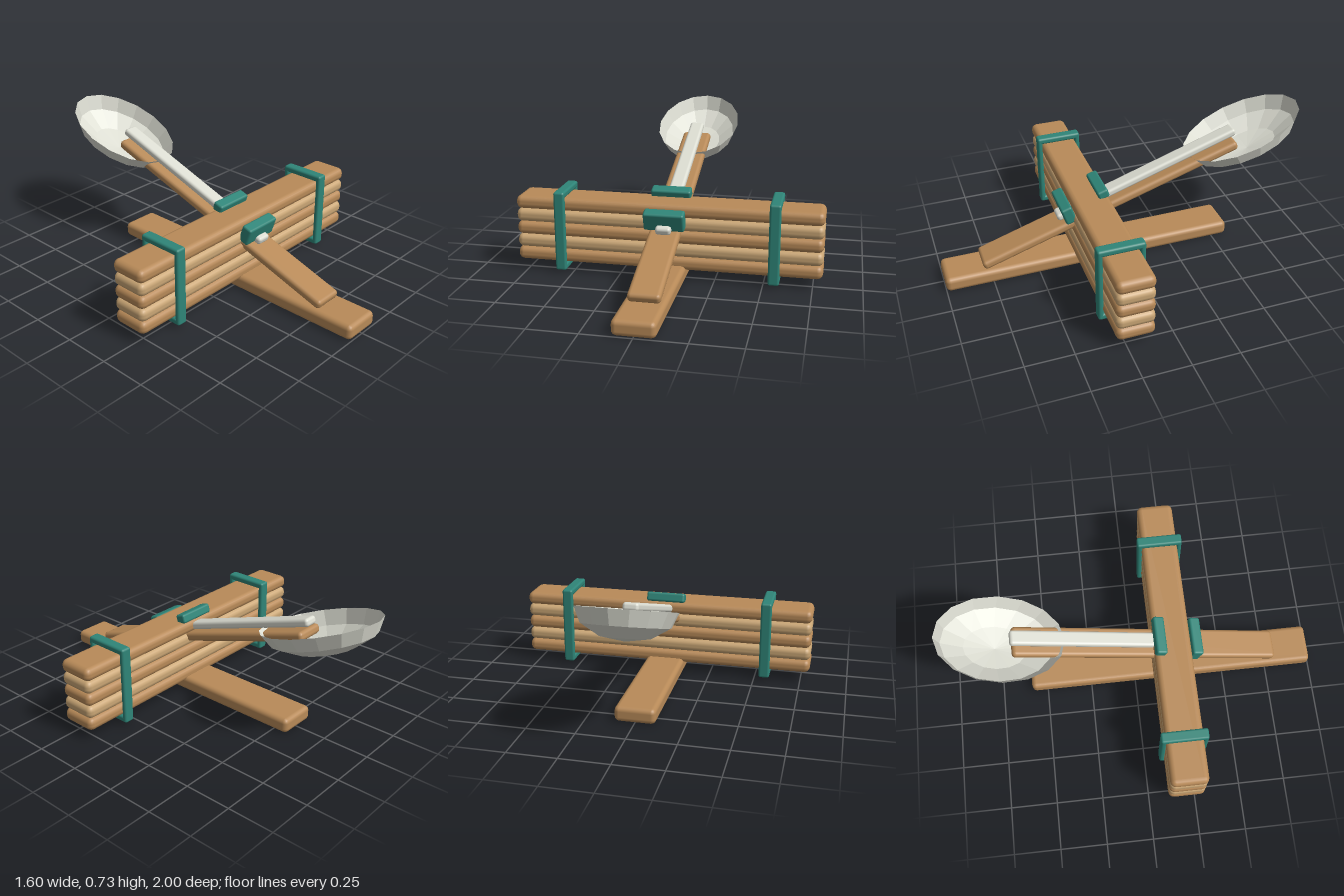
import * as THREE from 'three';
import { RoundedBoxGeometry } from 'three/addons/geometries/RoundedBoxGeometry.js';

const paint = (color, extra = {}) => {
  const m = new THREE.MeshStandardMaterial(extra);
  m.color.set(color);
  return m;
};
const wood = paint(0xb88a58);
const paleWood = paint(0xcaa675);
const teal = paint(0x2f8578);
const plastic = paint(0xdcddd2);
const bowlMaterial = paint(0xdcddd2, { flatShading: true, side: THREE.DoubleSide });

const deg = THREE.MathUtils.degToRad;

export function createModel() {
  const model = new THREE.Group();
  model.name = 'spoonCatapult';

  // Rounded block, optionally tilted so its +z end dips
  function block(name, size, pos, radius, material, tilt = 0, parent = model) {
    const mesh = new THREE.Mesh(new RoundedBoxGeometry(...size, 2, radius), material);
    mesh.name = name;
    mesh.position.set(...pos);
    mesh.rotation.x = deg(tilt);
    parent.add(mesh);
    return mesh;
  }

  // Base stick lying front to back
  block('baseStick', [0.21, 0.08, 1.585], [0, 0.043, 0.207], 0.025, wood);

  // Stack of five cross sticks
  const stack = new THREE.Group();
  stack.name = 'crossStickStack';
  model.add(stack);
  const pitch = 0.07;
  for (let i = 0; i < 5; i++) {
    block('crossStick', [1.6, 0.071, 0.2], [0, 0.0925 + i * pitch, 0.204], 0.03,
      i % 2 ? paleWood : wood, 0, stack);
  }

  // Rubber bands wrapped around both ends of the stack
  for (const side of [-1, 1]) {
    const band = new THREE.Group();
    band.name = side > 0 ? 'leftBand' : 'rightBand';
    band.position.set(side * 0.556, 0.233, 0.204);
    model.add(band);
    for (const s of [-1, 1]) {
      block('bandFlat', [0.058, 0.035, 0.248], [0, s * 0.195, 0], 0.012, teal, 0, band);
      block('bandUpright', [0.058, 0.425, 0.028], [0, 0, s * 0.11], 0.012, teal, 0, band);
    }
  }

  // Throwing arm threaded through the stack
  block('throwingArm', [0.162, 0.05, 1.5], [0, 0.33, 0.08], 0.02, wood, 18);

  // Lashing that ties spoon and arm to the stack
  block('topLashing', [0.21, 0.05, 0.06], [0, 0.426, 0.139], 0.012, teal, 18);
  block('frontLashing', [0.21, 0.1, 0.06], [0, 0.334, 0.328], 0.012, teal, 18);

  // Spoon: slim handle and faceted open bowl
  const spoon = new THREE.Group();
  spoon.name = 'spoon';
  model.add(spoon);
  block('spoonHandle', [0.08, 0.042, 1.066], [0, 0.453, -0.13], 0.016, plastic, 18.6, spoon);

  const bowl = new THREE.Mesh(
    new THREE.SphereGeometry(1, 16, 3, 0, Math.PI * 2, Math.PI / 2, Math.PI / 2), bowlMaterial);
  bowl.name = 'spoonBowl';
  bowl.scale.set(0.235, 0.148, 0.339);
  bowl.position.set(0, 0.626, -0.68);
  bowl.rotation.x = deg(19);
  spoon.add(bowl);

  return model;
}
